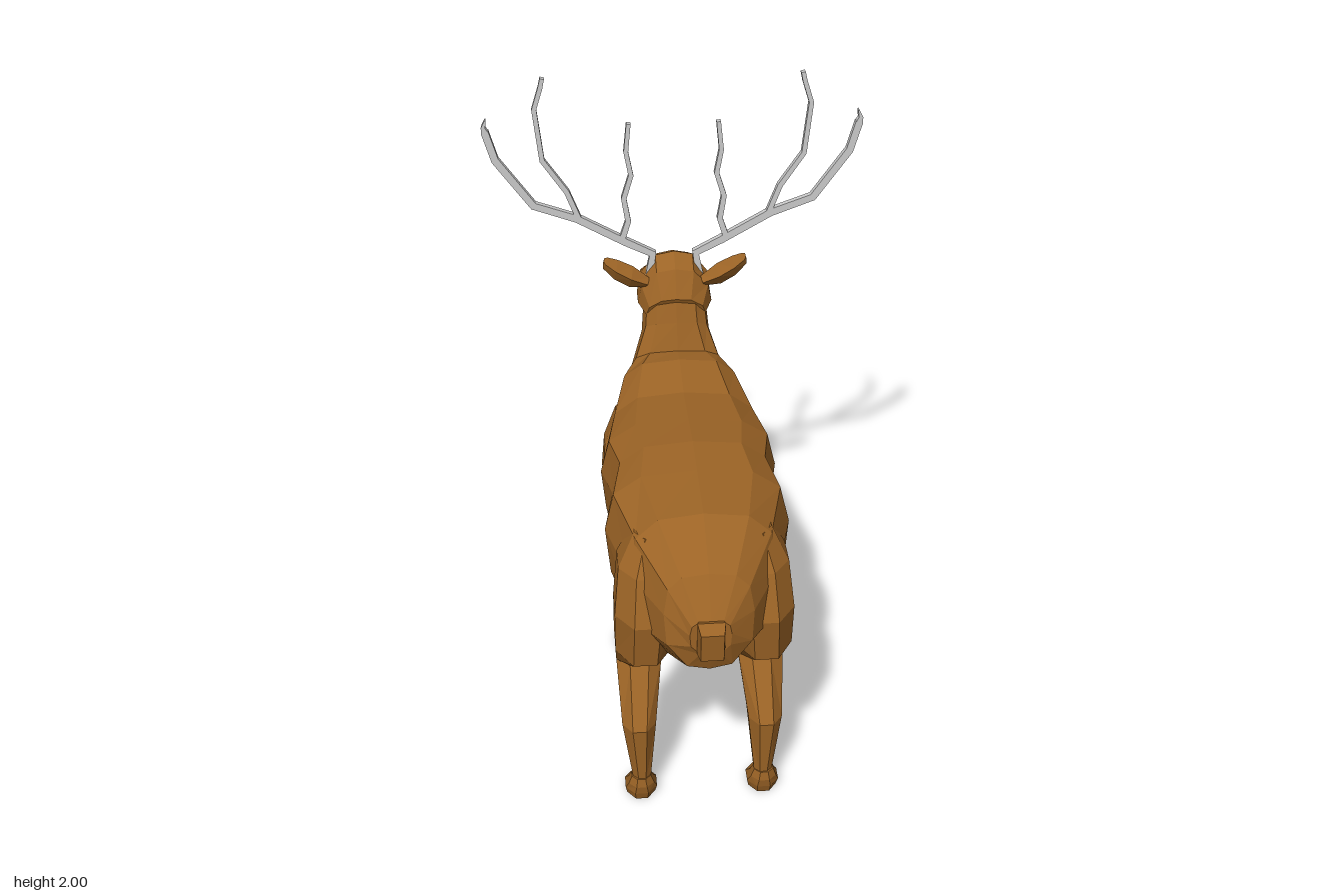
import * as THREE from 'three';

const V = (x, y, z) => new THREE.Vector3(x, y, z);
const hide = new THREE.MeshStandardMaterial({ color: 0x9c6426, flatShading: true });
const dark = new THREE.MeshStandardMaterial({ color: 0x4a2d12, flatShading: true });
const horn = new THREE.MeshStandardMaterial({ color: 0xcccccc, flatShading: true });

// Closed skin over a list of rings with equal point counts; winding is turned outward by volume.
function loft(name, rings, material) {
  const n = rings[0].length, pos = [], idx = [];
  const centre = r => r.reduce((s, p) => s.add(p), V(0, 0, 0)).divideScalar(n);
  const pts = [...rings.flat(), centre(rings[0]), centre(rings[rings.length - 1])];
  pts.forEach(p => pos.push(p.x, p.y, p.z));
  const first = rings.length * n, lastRing = (rings.length - 1) * n;
  for (let j = 0; j < n; j++) {
    const k = (j + 1) % n;
    for (let i = 0; i < rings.length - 1; i++) {
      const a = i * n + j, b = i * n + k;
      idx.push(a, b, b + n, a, b + n, a + n);
    }
    idx.push(first, k, j, first + 1, lastRing + j, lastRing + k);
  }
  let volume = 0;
  for (let i = 0; i < idx.length; i += 3)
    volume += pts[idx[i]].dot(pts[idx[i + 1]].clone().cross(pts[idx[i + 2]]));
  if (volume < 0) idx.reverse();
  const g = new THREE.BufferGeometry();
  g.setAttribute('position', new THREE.Float32BufferAttribute(pos, 3));
  g.setIndex(idx);
  g.computeVertexNormals();
  const mesh = new THREE.Mesh(g, material);
  mesh.name = name;
  return mesh;
}

// Slice from a top point to a bottom point; profile holds [width share, depth share].
function slice([zt, yt, zb, yb, w], profile) {
  const half = profile.map(([u, t]) => V(u * w, yt + (yb - yt) * t, zt + (zb - zt) * t));
  const other = half.slice(1, -1).reverse().map(p => V(-p.x, p.y, p.z));
  return [...half, ...other];
}

// Level eight-sided leg slice from its bounds; s mirrors it.
function legRing([y, z0, z1, x0, x1], s) {
  const ring = [], k = 1 / Math.cos(Math.PI / 8);
  for (let i = 0; i < 8; i++) {
    const a = (i + 0.5) * Math.PI / 4;
    ring.push(V(s * ((x0 + x1) / 2 + (x1 - x0) / 2 * k * Math.cos(a)), y,
      (z0 + z1) / 2 + (z1 - z0) / 2 * k * Math.sin(a)));
  }
  return ring;
}

// Square rod along a flat path of [x, y], narrowing toward its tip.
function rod(name, path, r0, r1, s) {
  const p = path.map(([x, y]) => new THREE.Vector2(x, y));
  const rings = p.map((c, i) => {
    const d = p[Math.min(i + 1, p.length - 1)].clone().sub(p[Math.max(i - 1, 0)]).normalize();
    const r = THREE.MathUtils.lerp(r0, r1, i / (p.length - 1));
    return [[1, 1], [-1, 1], [-1, -1], [1, -1]].map(([u, v]) =>
      V(s * (c.x - d.y * u * r), c.y + d.x * u * r, -0.55 + v * 0.011));
  });
  return loft(name, rings, horn);
}

export function createModel() {
  const model = new THREE.Group();
  model.name = 'stag';

  // Trunk and neck, from rump to throat
  const bodyProfile = [[0, 0], [0.6, 0.03], [0.9, 0.15], [1, 0.4], [0.95, 0.72], [0.5, 0.96], [0, 1]];
  model.add(loft('bodyAndNeck', [
    [0.775, 0.86, 0.775, 0.74, 0.06],
    [0.70, 0.97, 0.75, 0.67, 0.13],
    [0.53, 1.06, 0.61, 0.60, 0.22],
    [0.32, 1.075, 0.36, 0.61, 0.28],
    [0.17, 1.085, 0.17, 0.645, 0.25],
    [0.02, 1.075, 0.0, 0.615, 0.28],
    [-0.17, 1.065, -0.15, 0.62, 0.25],
    [-0.33, 1.10, -0.42, 0.69, 0.205],
    [-0.41, 1.09, -0.555, 0.88, 0.155],
    [-0.44, 1.18, -0.62, 1.03, 0.115],
    [-0.47, 1.28, -0.665, 1.13, 0.105],
  ].map(r => slice(r, bodyProfile)), hide));

  // Head and muzzle
  const headProfile = [[0, 0], [0.5, 0.05], [0.9, 0.3], [1, 0.6], [0.7, 0.92], [0, 1]];
  model.add(loft('head', [
    [-0.455, 1.26, -0.50, 1.15, 0.10],
    [-0.50, 1.35, -0.55, 1.13, 0.125],
    [-0.56, 1.39, -0.62, 1.12, 0.125],
    [-0.635, 1.36, -0.68, 1.12, 0.11],
    [-0.70, 1.265, -0.72, 1.13, 0.085],
    [-0.77, 1.22, -0.765, 1.14, 0.06],
    [-0.815, 1.20, -0.81, 1.155, 0.045],
    [-0.83, 1.19, -0.827, 1.165, 0.03],
  ].map(r => slice(r, headProfile)), hide));

  // Tail stub
  model.add(loft('tail', [
    [0.75, 0.85, 0.75, 0.77, 0.03],
    [0.79, 0.865, 0.78, 0.75, 0.04],
    [0.83, 0.85, 0.82, 0.755, 0.033],
  ].map(([zt, yt, zb, yb, w]) => [V(w, yt, zt), V(-w, yt, zt), V(-w, yb, zb), V(w, yb, zb)]), hide));

  // Leg slices: y, back z, front z, inner x, outer x
  const frontLeg = [
    [0.97, -0.18, -0.30, 0.15, 0.22],
    [0.86, -0.15, -0.32, 0.13, 0.26],
    [0.75, -0.12, -0.33, 0.12, 0.27],
    [0.66, -0.10, -0.31, 0.115, 0.265],
    [0.58, -0.13, -0.295, 0.12, 0.255],
    [0.40, -0.17, -0.295, 0.14, 0.245],
    [0.21, -0.135, -0.23, 0.155, 0.235],
    [0.08, -0.18, -0.235, 0.165, 0.22],
  ];
  const hindLeg = [
    [1.0, 0.56, 0.42, 0.10, 0.20],
    [0.90, 0.62, 0.395, 0.08, 0.25],
    [0.76, 0.67, 0.41, 0.08, 0.265],
    [0.61, 0.65, 0.375, 0.095, 0.265],
    [0.47, 0.475, 0.355, 0.12, 0.26],
    [0.29, 0.58, 0.435, 0.145, 0.25],
    [0.08, 0.57, 0.515, 0.165, 0.22],
  ];
  const hoof = (back, front) => [
    [0.09, back, back - 0.06, 0.165, 0.225],
    [0.06, back + 0.005, back - 0.075, 0.155, 0.235],
    [0.03, back, front + 0.01, 0.145, 0.245],
    [0.0, back - 0.01, front, 0.15, 0.24],
  ];

  for (const [side, s] of [['left', 1], ['right', -1]]) {
    const legs = { FrontLeg: frontLeg, HindLeg: hindLeg, FrontHoof: hoof(-0.175, -0.30), HindHoof: hoof(0.575, 0.45) };
    for (const [part, rows] of Object.entries(legs))
      model.add(loft(side + part, rows.map(r => legRing(r, s)), hide));

    // Leaf-shaped ear: x and y of the upper and lower edges, half thickness
    model.add(loft(side + 'Ear', [
      [0.085, 1.315, 0.10, 1.28, 0.018],
      [0.14, 1.36, 0.155, 1.285, 0.027],
      [0.19, 1.385, 0.205, 1.315, 0.022],
      [0.225, 1.395, 0.24, 1.355, 0.012],
      [0.235, 1.393, 0.24, 1.375, 0.005],
    ].map(([xu, yu, xl, yl, t]) => {
      const mx = s * (xu + xl) / 2, my = (yu + yl) / 2;
      return [V(s * xu, yu, -0.515), V(mx, my, -0.515 + t), V(s * xl, yl, -0.515), V(mx, my, -0.515 - t * 0.5)];
    }), hide));

    // Eye under a brow ridge
    const eye = new THREE.Mesh(new THREE.IcosahedronGeometry(0.018, 0), dark);
    eye.name = side + 'Eye';
    eye.position.set(s * 0.085, 1.245, -0.69);
    const brow = new THREE.Mesh(new THREE.BoxGeometry(0.03, 0.014, 0.06), hide);
    brow.name = side + 'Brow';
    brow.position.set(s * 0.085, 1.267, -0.683);
    brow.rotation.set(-0.2, s * 0.35, 0);
    model.add(eye, brow);

    // Antler: main beam with two tines
    const antler = new THREE.Group();
    antler.name = side + 'Antler';
    antler.add(
      rod('beam', [[0.085, 1.31], [0.072, 1.39], [0.16, 1.435], [0.32, 1.525], [0.46, 1.575], [0.575, 1.735], [0.602, 1.83]], 0.013, 0.012, s),
      rod('beamTip', [[0.601, 1.825], [0.606, 1.845], [0.598, 1.87]], 0.012, 0.002, s),
      rod('outerTine', [[0.31, 1.515], [0.35, 1.62], [0.425, 1.73], [0.443, 1.9], [0.42, 1.97], [0.413, 2.0]], 0.009, 0.007, s),
      rod('innerTine', [[0.175, 1.44], [0.152, 1.51], [0.165, 1.59], [0.14, 1.67], [0.155, 1.75], [0.145, 1.845]], 0.01, 0.007, s));
    model.add(antler);
  }
  return model;
}
